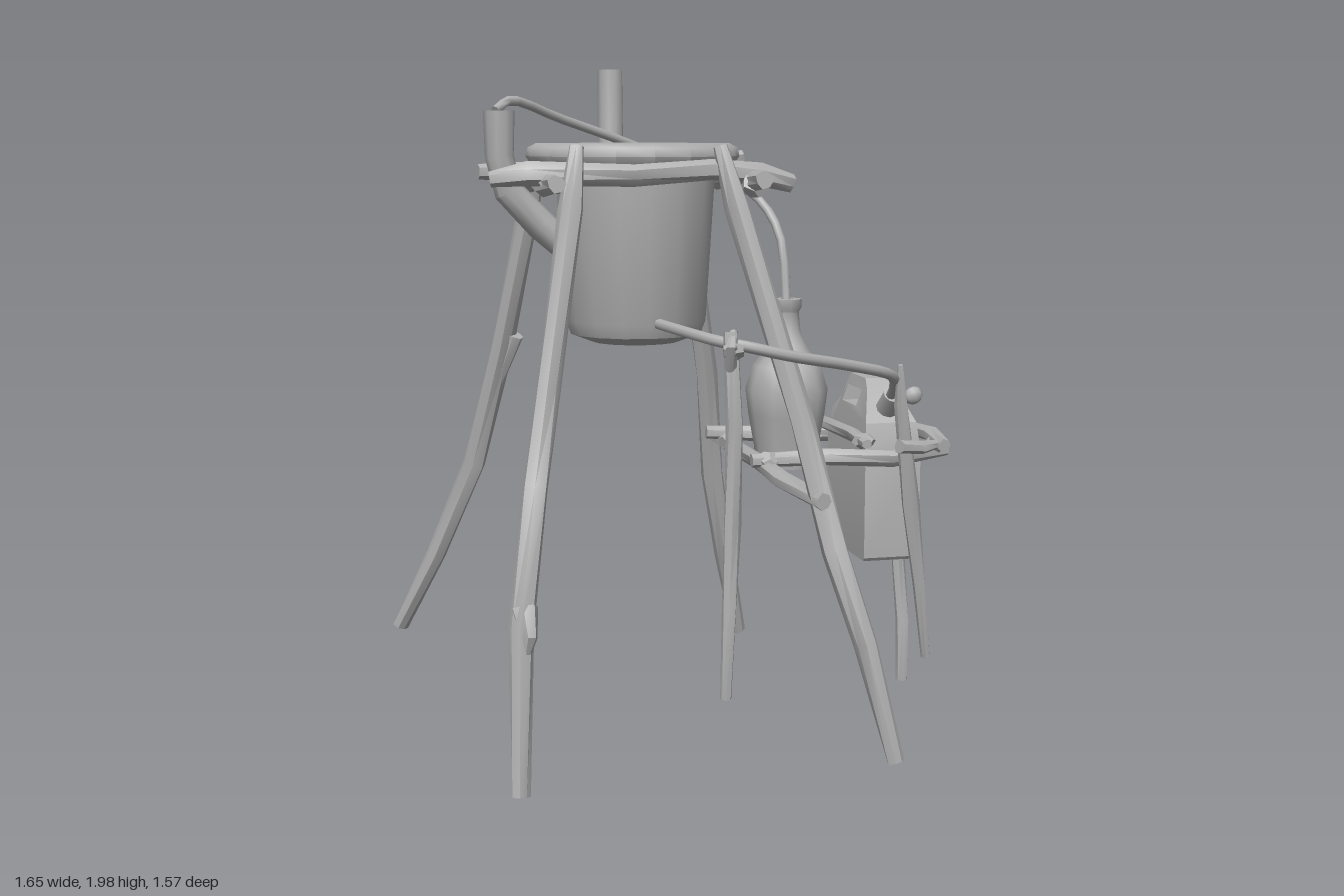
import * as THREE from 'three';
import { toCreasedNormals } from 'three/addons/utils/BufferGeometryUtils.js';

const grey = new THREE.MeshStandardMaterial({ color: 0xb0b0b0 });
grey.name = 'plain grey';

// Sweeps a ring of given radius through points [x, y, z, radius]; closed at both ends.
function sweep(points, sides, crease = 0.7, rough = 0) {
  const p = points.map(a => new THREE.Vector3(a[0], a[1], a[2]));
  const whole = p[p.length - 1].clone().sub(p[0]).normalize();
  const ref = Math.abs(whole.y) > 0.7 ? new THREE.Vector3(0, 0, 1) : new THREE.Vector3(0, 1, 0);
  const pos = [], idx = [];
  p.forEach((c, i) => {
    const a = p[Math.max(i - 1, 0)], b = p[Math.min(i + 1, p.length - 1)];
    const t = b.clone().sub(a).normalize();
    const u = ref.clone().cross(t).normalize(), v = t.clone().cross(u);
    for (let j = 0; j < sides; j++) {
      const ang = j / sides * Math.PI * 2;
      const r = points[i][3] * (1 + rough * Math.sin(i * 4.1 + j * 2.3));
      const q = c.clone().addScaledVector(u, Math.cos(ang) * r).addScaledVector(v, Math.sin(ang) * r);
      pos.push(q.x, q.y, q.z);
    }
  });
  for (let i = 0; i < p.length - 1; i++) {
    for (let j = 0; j < sides; j++) {
      const k = (j + 1) % sides, a = i * sides, b = a + sides;
      idx.push(a + j, a + k, b + k, a + j, b + k, b + j);
    }
  }
  const last = (p.length - 1) * sides;
  for (let j = 1; j < sides - 1; j++) {
    idx.push(0, j + 1, j, last, last + j, last + j + 1);
  }
  const g = new THREE.BufferGeometry();
  g.setAttribute('position', new THREE.Float32BufferAttribute(pos, 3));
  g.setIndex(idx);
  return toCreasedNormals(g, crease);
}

// Bends a short control path into a smooth hose of constant radius.
function hose(points, r) {
  const curve = new THREE.CatmullRomCurve3(points.map(a => new THREE.Vector3(...a)), false, 'centripetal');
  return sweep(curve.getPoints(points.length * 3).map(q => [q.x, q.y, q.z, r]), 8, 1.2);
}

function lathe(profile, sides, crease) {
  const g = new THREE.LatheGeometry(profile.map(a => new THREE.Vector2(...a)), sides);
  return toCreasedNormals(g, crease);
}

export function createModel() {
  const model = new THREE.Group();
  const add = (name, geometry, x = 0, y = 0, z = 0, parent = model) => {
    const m = new THREE.Mesh(geometry, grey);
    m.name = name;
    m.position.set(x, y, z);
    parent.add(m);
    return m;
  };
  const branch = (name, pts) => add(name, sweep(pts, 7, 0.6, 0.12));

  // Bucket with slightly pointed bottom
  add('bucket', lathe([[0, 1.165], [0.13, 1.175], [0.195, 1.2], [0.21, 1.24], [0.238, 1.68], [0.238, 1.73]], 16, 0.6), -0.14, 0, 0);
  add('bucketRim', lathe([[0.255, 1.72], [0.265, 1.695], [0.295, 1.69], [0.315, 1.72], [0.308, 1.745],
    [0.285, 1.757], [0.26, 1.75], [0.255, 1.72]], 18, 0.9), -0.145, 0, -0.01);
  add('lid', new THREE.CylinderGeometry(0.27, 0.27, 0.03, 18), -0.145, 1.715, -0.01);

  // Lid slats: two long ones across, four rows between
  const slats = new THREE.Group();
  slats.name = 'lidSlats';
  model.add(slats);
  for (const [x, turn] of [[-0.25, 0.07], [-0.07, -0.04]]) {
    add('longSlat', new THREE.BoxGeometry(0.065, 0.02, 0.46), x, 1.737, -0.01, slats).rotation.y = turn;
  }
  [[-0.17, 0.36], [-0.05, 0.48], [0.05, 0.48], [0.15, 0.38]].forEach(([z, len], i) => {
    add('crossSlat', new THREE.BoxGeometry(len, 0.014, 0.07), -0.145, 1.732, z, slats).rotation.y = i % 2 ? 0.04 : -0.04;
  });

  // Four tall splayed legs
  branch('frontLeftSideLeg', [[-0.365, 1.75, 0.3, 0.02], [-0.39, 1.58, 0.35, 0.036], [-0.48, 1.1, 0.48, 0.032],
    [-0.53, 0.85, 0.57, 0.034], [-0.585, 0.5, 0.67, 0.036], [-0.605, 0.07, 0.755, 0.024]]);
  branch('backLeftSideLeg', [[-0.37, 1.75, -0.33, 0.02], [-0.4, 1.55, -0.385, 0.036], [-0.48, 1.1, -0.49, 0.035],
    [-0.56, 0.72, -0.59, 0.036], [-0.68, 0.4, -0.68, 0.032], [-0.8, 0.14, -0.765, 0.025]]);
  branch('frontRightSideLeg', [[0.04, 1.75, 0.31, 0.02], [0.08, 1.58, 0.35, 0.036], [0.22, 1.0, 0.52, 0.034],
    [0.29, 0.65, 0.62, 0.036], [0.36, 0.4, 0.69, 0.034], [0.43, 0.08, 0.745, 0.024]]);
  branch('backRightSideLeg', [[0.06, 1.74, -0.34, 0.02], [0.1, 1.55, -0.38, 0.036], [0.2, 1.0, -0.51, 0.035],
    [0.24, 0.65, -0.58, 0.036], [0.3, 0.35, -0.64, 0.033], [0.36, 0.07, -0.695, 0.025]]);

  // Stubs of snapped twigs on the tall legs
  branch('twigStub', [[-0.575, 0.55, 0.66, 0.035], [-0.57, 0.48, 0.7, 0.025], [-0.58, 0.42, 0.7, 0.008]]);
  branch('twigStub', [[-0.44, 1.15, -0.47, 0.03], [-0.47, 1.05, -0.5, 0.024], [-0.5, 0.95, -0.51, 0.008]]);

  // Upper square of poles around the bucket
  branch('frontPole', [[-0.6, 1.66, 0.26, 0.025], [-0.5, 1.675, 0.28, 0.034], [-0.2, 1.67, 0.285, 0.03],
    [0.02, 1.685, 0.295, 0.034], [0.16, 1.67, 0.285, 0.032], [0.26, 1.645, 0.265, 0.026]]);
  branch('backPole', [[-0.57, 1.67, -0.285, 0.027], [-0.38, 1.67, -0.31, 0.03], [-0.15, 1.68, -0.315, 0.034],
    [0.05, 1.67, -0.31, 0.032], [0.17, 1.69, -0.295, 0.032], [0.265, 1.71, -0.29, 0.025]]);
  for (const [x, dy] of [[-0.44, 0], [0.14, 0.008]]) {
    branch('sidePole', [[x - 0.01, 1.665 + dy, -0.43, 0.022], [x + 0.01, 1.65 + dy, -0.3, 0.03], [x, 1.635 + dy, -0.1, 0.025],
      [x, 1.655 + dy, 0.06, 0.028], [x - 0.005, 1.64 + dy, 0.25, 0.03], [x, 1.65 + dy, 0.41, 0.025]]);
  }

  // Lower shelf of poles
  branch('longShelfPole', [[0.23, 0.795, -0.64, 0.02], [0.225, 0.8, -0.3, 0.024], [0.22, 0.81, 0.05, 0.025],
    [0.215, 0.8, 0.35, 0.026], [0.255, 0.79, 0.625, 0.024]]);
  branch('backShelfPole', [[0.15, 0.84, -0.3, 0.022], [0.35, 0.83, -0.285, 0.026], [0.6, 0.83, -0.27, 0.027], [0.82, 0.84, -0.26, 0.024]]);
  branch('frontShelfPole', [[0.17, 0.83, 0.18, 0.022], [0.4, 0.835, 0.19, 0.025], [0.6, 0.825, 0.205, 0.024], [0.78, 0.84, 0.175, 0.02]]);
  branch('middleShelfPole', [[0.51, 0.87, -0.36, 0.016], [0.505, 0.88, -0.15, 0.02], [0.51, 0.885, 0.1, 0.022], [0.5, 0.88, 0.26, 0.015]]);
  branch('outerShelfPole', [[0.745, 0.91, -0.34, 0.018], [0.74, 0.875, -0.2, 0.026], [0.735, 0.88, 0], [0.74, 0.885, 0.15], [0.735, 0.87, 0.28, 0.02]]
    .map(a => [a[0], a[1], a[2], a[3] ?? 0.023]));

  // Three short props
  branch('backProp', [[0.775, 0.91, -0.25, 0.02], [0.78, 0.75, -0.25, 0.026], [0.785, 0.45, -0.26, 0.022],
    [0.8, 0.2, -0.235, 0.021], [0.8, 0, -0.23, 0.019]]);
  branch('frontProp', [[0.58, 1.12, 0.315, 0.008], [0.59, 1.0, 0.3, 0.02], [0.63, 0.7, 0.28, 0.027],
    [0.67, 0.45, 0.26, 0.018], [0.705, 0.215, 0.235, 0.014]]);
  branch('hoseProp', [[0.02, 1.25, 0.51, 0.02], [0.025, 1.0, 0.54, 0.024], [0.015, 0.72, 0.55, 0.024],
    [0.005, 0.5, 0.565, 0.02], [-0.005, 0.235, 0.57, 0.016]]);
  branch('propFork', [[0.015, 1.15, 0.53, 0.016], [0.01, 1.21, 0.56, 0.018], [0.03, 1.25, 0.5, 0.008]]);
  branch('propTwig', [[0.58, 0.88, 0.32, 0.022], [0.66, 0.87, 0.29, 0.02], [0.75, 0.87, 0.23, 0.01]]);

  // Lashings where poles meet
  const knots = [[-0.43, 1.65, 0.3], [0.14, 1.645, 0.31], [-0.4, 1.66, -0.33], [0.13, 1.66, -0.33],
    [0.77, 0.89, -0.25], [0.74, 0.86, 0.19], [0.51, 0.88, 0.2], [0.22, 0.83, 0.19], [0.22, 0.82, -0.28], [0.02, 1.2, 0.54]];
  knots.forEach(([x, y, z], i) => {
    const k = add('lashing', new THREE.DodecahedronGeometry(i < 4 ? 0.042 : 0.033), x, y, z);
    k.rotation.set(i, i * 2, 0);
    k.scale.set(1.1, 0.75, 1);
  });

  // Bent pipes leaving the bucket
  add('tallPipe', sweep([[-0.14, 1.42, -0.2, 0.042], [-0.14, 1.52, -0.3, 0.042], [-0.14, 1.63, -0.37, 0.041],
    [-0.14, 1.75, -0.385, 0.04], [-0.14, 1.98, -0.395, 0.04]], 10));
  add('shortPipe', sweep([[-0.33, 1.44, 0, 0.042], [-0.42, 1.52, 0, 0.045], [-0.515, 1.62, 0, 0.043],
    [-0.54, 1.72, 0, 0.042], [-0.54, 1.85, 0, 0.046]], 10));

  // Thin hoses
  add('upperHose', hose([[-0.55, 1.85, 0], [-0.5, 1.88, -0.05], [-0.33, 1.83, -0.2], [-0.14, 1.77, -0.3], [0.03, 1.71, -0.365],
    [0.18, 1.65, -0.355], [0.29, 1.6, -0.28], [0.35, 1.48, -0.17], [0.36, 1.24, -0.11]], 0.014));
  add('lowerHose', hose([[-0.12, 1.245, 0.18], [-0.07, 1.235, 0.34], [0, 1.22, 0.48], [0.06, 1.21, 0.52], [0.19, 1.18, 0.52],
    [0.38, 1.14, 0.44], [0.53, 1.1, 0.36], [0.59, 1.05, 0.24], [0.62, 0.99, 0.11]], 0.016));

  // Flask on the shelf
  add('flask', lathe([[0, 0.755], [0.095, 0.76], [0.1, 0.82], [0.118, 0.92], [0.128, 1.0], [0.105, 1.075], [0.065, 1.125], [0.042, 1.18],
    [0.036, 1.24], [0.045, 1.255], [0.045, 1.28], [0.02, 1.28], [0.02, 1.24]], 10, 0.8), 0.36, 0, -0.11);

  // Jerry can: side outline with a grip slot, narrowed toward the top
  const side = new THREE.Shape([[-0.145, 0.5], [0.215, 0.5], [0.222, 0.51], [0.222, 0.84], [0.205, 0.92], [0.16, 0.97], [0.155, 1.03],
    [0.14, 1.04], [0, 1.04], [-0.04, 1.01], [-0.13, 0.92], [-0.152, 0.84], [-0.152, 0.51]].map(a => new THREE.Vector2(...a)));
  side.holes.push(new THREE.Path([[0.005, 0.955], [0.005, 1.005], [0.14, 1.005], [0.14, 0.955]].map(a => new THREE.Vector2(...a))));
  const can = new THREE.ExtrudeGeometry(side, { depth: 0.175, bevelEnabled: false });
  can.translate(0, 0, -0.0875);
  const cp = can.attributes.position;
  for (let i = 0; i < cp.count; i++) {
    const y = cp.getY(i);
    const narrow = y > 0.9 ? Math.max(0.45, 1 - (y - 0.9) * 4.2) : 1;
    cp.setZ(i, cp.getZ(i) * narrow);
  }
  can.rotateY(Math.PI / 2);
  add('can', toCreasedNormals(can, 0.5), 0.62, 0, 0);

  // Spout collar and wing tap
  const collar = add('spoutCollar', new THREE.CylinderGeometry(0.03, 0.036, 0.07, 10), 0.62, 0.985, 0.12);
  collar.rotation.x = 0.8;
  for (const s of [-1, 1]) {
    const wing = add('tapWing', new THREE.SphereGeometry(0.03, 8, 6), 0.655 + s * 0.025, 1.0 + s * 0.005, 0.14 + s * 0.015);
    wing.scale.set(1, 0.9, 0.6);
    wing.rotation.z = s * 0.5;
  }
  return model;
}
